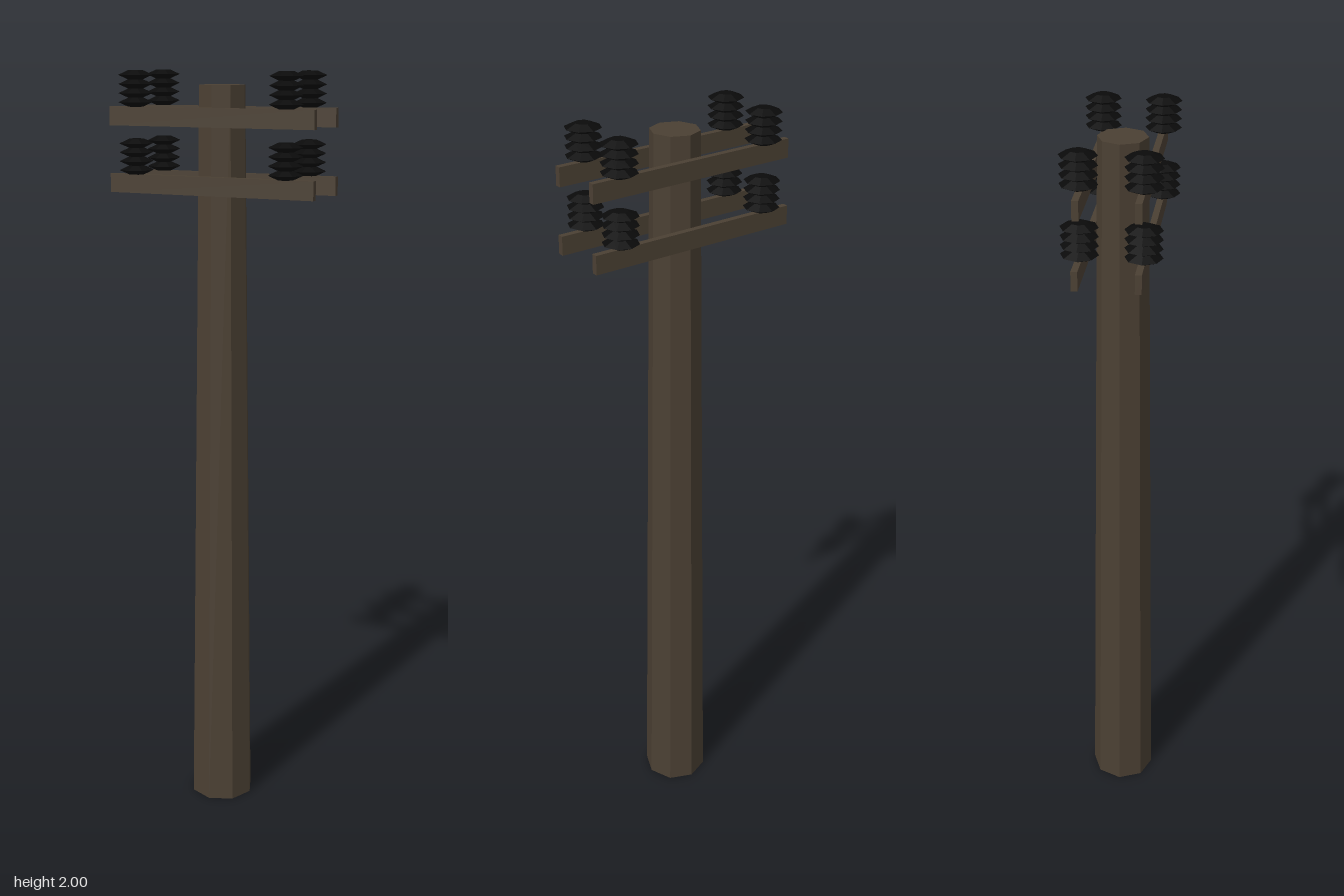
import * as THREE from 'three';

export function createModel() {
  const root = new THREE.Group();
  root.name = 'utilityPole';

  const wood = new THREE.MeshStandardMaterial({ color: 0x4b4033, flatShading: true });
  wood.name = 'weathered wood';
  const ceramic = new THREE.MeshStandardMaterial({ color: 0x0a0a0a, flatShading: true });
  ceramic.name = 'black ceramic';

  const add = (name, geometry, material, x, y, z) => {
    const mesh = new THREE.Mesh(geometry, material);
    mesh.name = name;
    mesh.position.set(x, y, z);
    root.add(mesh);
  };

  // Tapered octagonal pole
  const poleHeight = 1.965;
  add('pole', new THREE.CylinderGeometry(0.062, 0.087, poleHeight, 8), wood, 0, poleHeight / 2, 0);

  // Insulator: four sharp-rimmed discs stacked on a narrow core
  const discs = 4, height = 0.09, core = 0.02, rim = 0.0455;
  const profile = [new THREE.Vector2(0, 0), new THREE.Vector2(core, 0)];
  for (let i = 0; i < discs; i++) {
    const step = height / discs;
    profile.push(new THREE.Vector2(rim, (i + 0.5) * step), new THREE.Vector2(core, (i + 1) * step));
  }
  profile.push(new THREE.Vector2(0, height));
  const insulator = new THREE.LatheGeometry(profile, 8);

  // Two tiers of paired cross arms, each arm carrying two insulators
  const armHeight = 0.048;
  const tiers = [
    { name: 'lower', top: 1.74, back: -0.077 },
    { name: 'upper', top: 1.91, back: -0.072 },
  ];
  for (const { name, top, back } of tiers) {
    for (const [side, armZ] of [['Front', 0.071], ['Back', back]]) {
      add(`${name}${side}CrossArm`, new THREE.BoxGeometry(0.57, armHeight, 0.016), wood,
        0, top - armHeight / 2, armZ);
      for (const sx of [-1, 1]) {
        add(`${name}${side}${sx > 0 ? 'Left' : 'Right'}Insulator`, insulator, ceramic,
          sx * 0.209, top, side === 'Front' ? 0.075 : -0.075);
      }
    }
  }
  return root;
}
